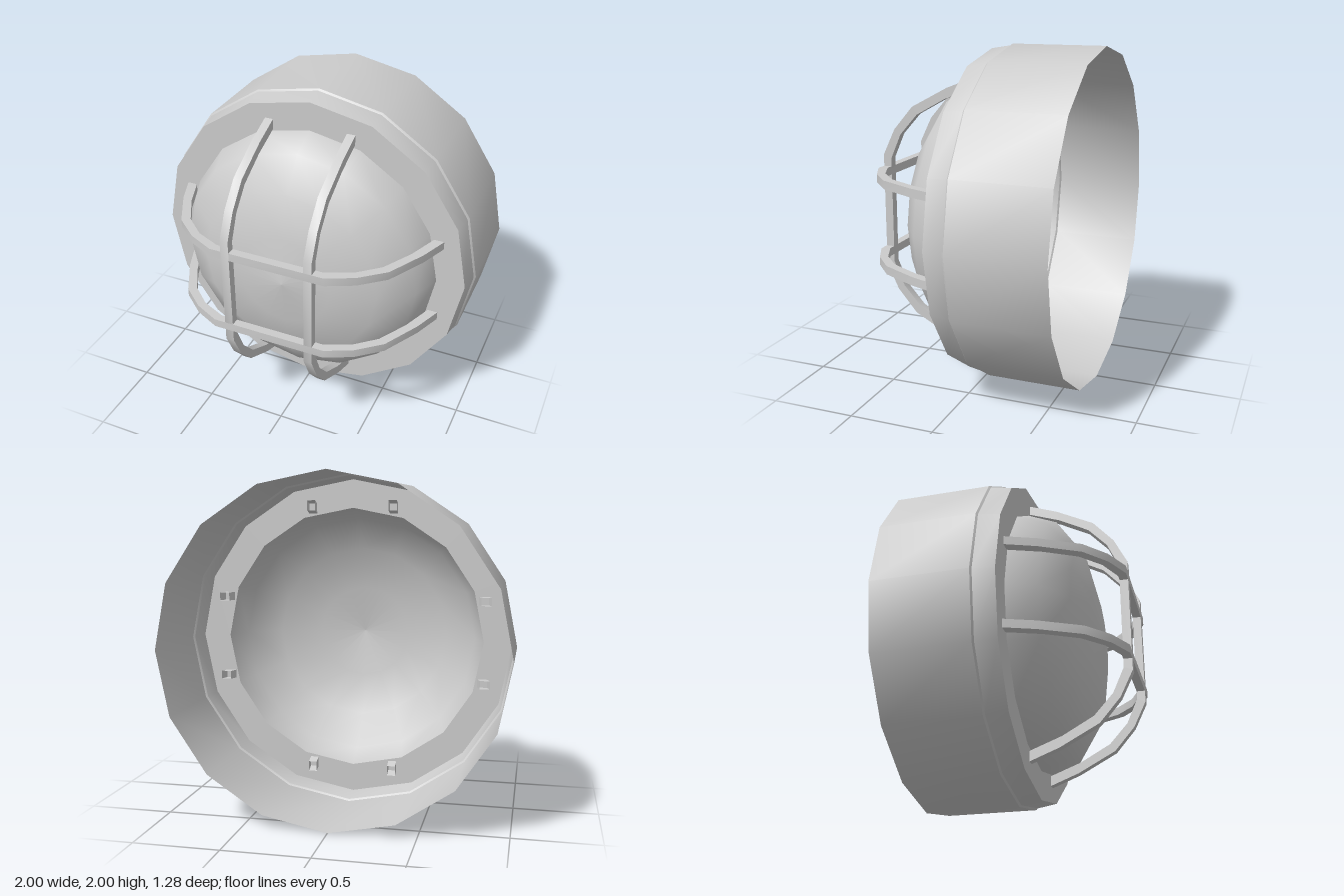
import * as THREE from 'three';
import { toCreasedNormals } from 'three/addons/utils/BufferGeometryUtils.js';

const SIDES = 16;
const material = new THREE.MeshStandardMaterial({ color: 0xcccccc, side: THREE.DoubleSide });

// Revolve [radius, z] points around the z axis
function revolve(points) {
  const geometry = new THREE.LatheGeometry(points.map(([r, z]) => new THREE.Vector2(r, z)), SIDES);
  return geometry.rotateX(Math.PI / 2);
}

// Open-ended square bar: half profiles [x, z] of its outer and inner edge, mirrored in x
function barGeometry(outer, inner, width) {
  const mirror = (half) => [...half, ...half.slice().reverse().map(([x, z]) => [-x, z])];
  const out = mirror(outer), inn = mirror(inner), h = width / 2;
  const positions = [], index = [];
  out.forEach(([ox, oz], i) => {
    const [ix, iz] = inn[i];
    positions.push(ox, h, oz, ox, -h, oz, ix, -h, iz, ix, h, iz);
    if (i === 0) return;
    for (let k = 0; k < 4; k++) {
      const a = (i - 1) * 4 + k, b = (i - 1) * 4 + (k + 1) % 4;
      index.push(a, b, b + 4, a, b + 4, a + 4);
    }
  });
  const geometry = new THREE.BufferGeometry();
  geometry.setAttribute('position', new THREE.Float32BufferAttribute(positions, 3));
  geometry.setIndex(index);
  return toCreasedNormals(geometry, 0.6);
}

export function createModel() {
  const group = new THREE.Group();
  group.name = 'bulkheadLamp';

  const add = (name, geometry, parent = group) => {
    const mesh = new THREE.Mesh(geometry, material);
    mesh.name = name;
    parent.add(mesh);
    return mesh;
  };

  // Housing, open at the back, with a tapered collar and flat front ring
  const housing = revolve([[1, -0.64], [1, -0.08], [0.99, -0.07], [0.97, 0.05], [0.8, 0.05]]);
  add('housing', toCreasedNormals(housing, 0.5)).position.y = 1;

  // Domed lens
  const lens = revolve([[0.8, 0.05], [0.735, 0.22], [0.545, 0.352], [0.285, 0.413], [0, 0.448]]);
  add('lens', lens).position.y = 1;

  // Guard cage: two horizontal and two vertical bent bars
  const cage = new THREE.Group();
  cage.name = 'guardCage';
  cage.position.y = 1;
  group.add(cage);
  const bar = barGeometry(
    [[0.845, 0], [0.76, 0.22], [0.64, 0.445], [0.5, 0.565], [0.345, 0.64]],
    [[0.785, 0], [0.695, 0.235], [0.595, 0.415], [0.472, 0.525], [0.325, 0.59]],
    0.05
  );
  for (const side of [-1, 1]) {
    add('horizontalGuardBar', bar, cage).position.y = side * 0.25;
    const upright = add('verticalGuardBar', bar, cage);
    upright.rotation.z = Math.PI / 2;
    upright.position.x = side * 0.25;
  }
  return group;
}
